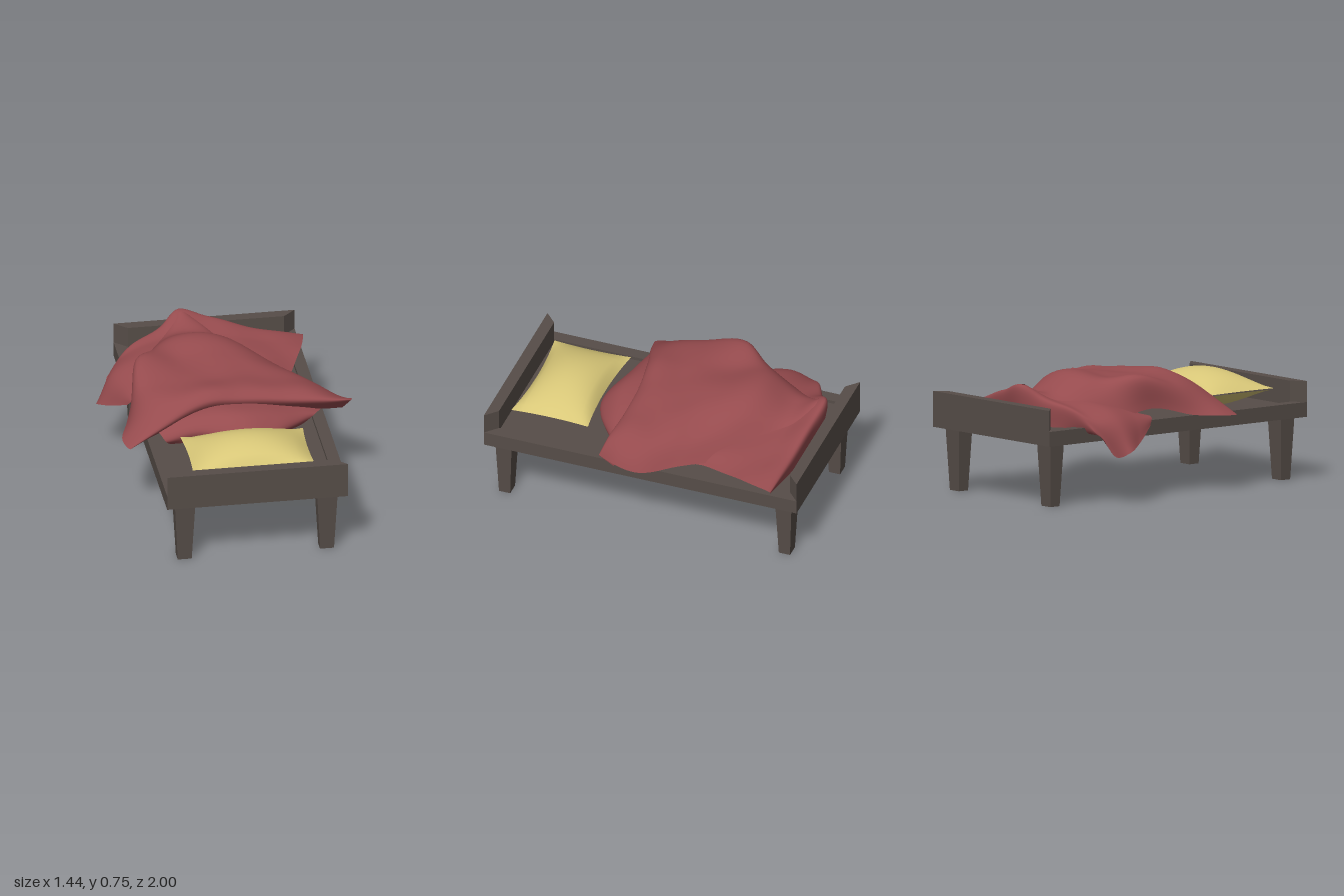
import * as THREE from 'three';

const wood = new THREE.MeshStandardMaterial({ color: 0x564d48, flatShading: true });
const cloth = new THREE.MeshStandardMaterial({ color: 0x964b4e, side: THREE.DoubleSide });
const linen = new THREE.MeshStandardMaterial({ color: 0xd8c778 });
const CX = 0.02; // the frame sits slightly off centre under the draped blanket

function add(parent, name, geometry, material, x = 0, y = 0, z = 0) {
  const mesh = new THREE.Mesh(geometry, material);
  mesh.name = name;
  mesh.position.set(x, y, z);
  parent.add(mesh);
  return mesh;
}

const outline = (points) => points.map(([x, y]) => new THREE.Vector2(x, y));

// Floor-plan shape raised to a height
function raise(shape, height) {
  return new THREE.ExtrudeGeometry(shape, { depth: height, bevelEnabled: false }).rotateX(-Math.PI / 2);
}

// Smooth cloth surface through rows of [x, y, z] points, rows running front to back
function drape(rows, wrinkle, nu = 48, nv = 48) {
  const curve = (pts) => new THREE.CatmullRomCurve3(pts, false, 'centripetal');
  const across = rows.map((r) => curve(r.map((p) => new THREE.Vector3(...p))));
  const pos = [], index = [];
  for (let i = 0; i <= nu; i++) {
    const along = curve(across.map((c) => c.getPoint(i / nu)));
    for (let j = 0; j <= nv; j++) {
      const p = along.getPoint(j / nv);
      const w = Math.sin(p.x * 13 + p.z * 9 + 2 * Math.sin(p.z * 6)) + 0.6 * Math.sin(p.x * 21 - p.z * 14);
      pos.push(p.x, p.y + wrinkle * w, p.z);
      if (i < nu && j < nv) {
        const a = i * (nv + 1) + j, b = a + nv + 1;
        index.push(a, b, a + 1, b, b + 1, a + 1);
      }
    }
  }
  const g = new THREE.BufferGeometry();
  g.setAttribute('position', new THREE.Float32BufferAttribute(pos, 3));
  g.setIndex(index);
  g.computeVertexNormals();
  return g;
}

// Half of the pillow: a square bulged up (side 1) or down (side -1), edges pinched in
function pillowHalf(side) {
  const g = new THREE.PlaneGeometry(2, 2, 16, 16);
  const p = g.attributes.position;
  for (let i = 0; i < p.count; i++) {
    const u = p.getX(i) * side, v = -p.getY(i);
    const bulge = Math.pow(1 - u * u, 0.85) * Math.pow(1 - v * v, 0.62);
    p.setXYZ(i,
      CX + u * (0.373 - 0.012 * (1 - v * v)),
      0.54 + side * (0.113 * bulge + 0.004),
      0.645 + 0.245 * v * (1 - 0.11 * (1 - u * u)));
  }
  g.computeVertexNormals();
  return g;
}

export function createModel() {
  const model = new THREE.Group();
  model.name = 'bed';

  // Bed frame: bottom slab, raised rim around a shallow recess
  const frame = new THREE.Group();
  frame.name = 'frame';
  frame.position.x = CX;
  model.add(frame);
  add(frame, 'base', new THREE.BoxGeometry(1.1, 0.07, 2), wood, 0, 0.415, 0);
  const rim = new THREE.Shape(outline([[-0.55, -1], [0.55, -1], [0.55, 1], [-0.55, 1]]));
  rim.holes.push(new THREE.Path(outline([[-0.475, -0.93], [-0.475, 0.93], [0.475, 0.93], [0.475, -0.93]])));
  add(frame, 'rim', raise(rim, 0.02), wood, 0, 0.45, 0);

  // End boards with mitred ends
  const board = new THREE.Shape(outline([[-0.55, -1], [0.55, -1], [0.475, -0.93], [-0.475, -0.93]]));
  const boardGeo = raise(board, 0.127);
  add(frame, 'headboard', boardGeo, wood, 0, 0.47, 0);
  add(frame, 'footboard', boardGeo, wood, 0, 0.47, 0).rotation.y = Math.PI;

  // Tapered legs
  const legGeo = new THREE.CylinderGeometry(0.0625 * Math.SQRT2, 0.0425 * Math.SQRT2, 0.38, 4);
  legGeo.rotateY(Math.PI / 4).scale(1, 1, 0.84);
  for (const sx of [-1, 1]) for (const sz of [-1, 1])
    add(frame, 'leg', legGeo, wood, sx * 0.4325, 0.19, sz * 0.895);

  // Pillow
  const pillow = new THREE.Group();
  pillow.name = 'pillow';
  model.add(pillow);
  add(pillow, 'pillowTop', pillowHalf(1), linen);
  add(pillow, 'pillowBottom', pillowHalf(-1), linen);

  // Blanket
  const blanket = new THREE.Group();
  blanket.name = 'blanket';
  model.add(blanket);

  // Main body, tapering to a peak at the foot end
  const body = [
    [[-0.65, 0.465, 0.36], [-0.42, 0.58, 0.3], [-0.18, 0.66, 0.23], [0.05, 0.655, 0.2], [0.3, 0.63, 0.2], [0.55, 0.62, 0.215], [0.72, 0.61, 0.21]],
    [[-0.68, 0.47, 0.25], [-0.45, 0.64, 0.2], [-0.2, 0.71, 0.17], [0.05, 0.7, 0.14], [0.3, 0.675, 0.13], [0.52, 0.645, 0.13], [0.72, 0.56, 0.1]],
    [[-0.62, 0.49, 0.05], [-0.52, 0.66, 0], [-0.22, 0.7, -0.03], [0.05, 0.695, -0.05], [0.3, 0.67, -0.05], [0.5, 0.625, -0.05], [0.67, 0.5, -0.03]],
    [[-0.54, 0.54, -0.2], [-0.505, 0.735, -0.28], [-0.25, 0.71, -0.28], [0, 0.725, -0.28], [0.2, 0.69, -0.25], [0.38, 0.61, -0.25], [0.53, 0.49, -0.2]],
    [[-0.5, 0.5, -0.42], [-0.42, 0.66, -0.45], [-0.27, 0.73, -0.5], [-0.1, 0.748, -0.52], [0.1, 0.7, -0.5], [0.24, 0.62, -0.45], [0.4, 0.48, -0.38]],
    [[-0.38, 0.5, -0.7], [-0.32, 0.59, -0.71], [-0.22, 0.645, -0.73], [-0.11, 0.645, -0.73], [0.02, 0.62, -0.72], [0.13, 0.56, -0.67], [0.25, 0.47, -0.61]],
    [[-0.32, 0.5, -0.82], [-0.25, 0.6, -0.85], [-0.18, 0.68, -0.87], [-0.14, 0.71, -0.88], [-0.08, 0.68, -0.87], [0.02, 0.6, -0.86], [0.1, 0.5, -0.85]],
  ];
  // front lip rolled under
  const lip = body[0].map(([x, y, z]) => [x * 0.94, 0.46 + (y - 0.46) * 0.4, z - 0.08]);
  add(blanket, 'blanketBody', drape([lip, ...body], 0.002), cloth);

  // Spread corners at the foot end, one hanging over the side
  const corners = [
    [[-0.54, 0.43, -0.69], [-0.4, 0.46, -0.79], [-0.25, 0.46, -0.86], [-0.14, 0.46, -0.9], [0.05, 0.46, -0.88], [0.3, 0.46, -0.86], [0.585, 0.485, -0.83]],
    [[-0.62, 0.42, -0.675], [-0.47, 0.55, -0.765], [-0.27, 0.63, -0.855], [-0.15, 0.71, -0.92], [0.03, 0.65, -0.9], [0.3, 0.57, -0.865], [0.595, 0.51, -0.84]],
    [[-0.65, 0.29, -0.575], [-0.58, 0.5, -0.66], [-0.3, 0.61, -0.73], [-0.14, 0.63, -0.75], [0.05, 0.6, -0.75], [0.3, 0.56, -0.72], [0.56, 0.52, -0.68]],
    [[-0.715, 0.325, -0.52], [-0.61, 0.51, -0.53], [-0.38, 0.6, -0.55], [-0.14, 0.6, -0.55], [0.1, 0.58, -0.58], [0.32, 0.55, -0.55], [0.5, 0.5, -0.53]],
    [[-0.66, 0.37, -0.4], [-0.57, 0.5, -0.36], [-0.4, 0.56, -0.4], [-0.14, 0.55, -0.4], [0.15, 0.55, -0.4], [0.34, 0.53, -0.4], [0.43, 0.47, -0.35]],
    [[-0.57, 0.44, -0.25], [-0.53, 0.49, -0.21], [-0.4, 0.5, -0.25], [-0.14, 0.5, -0.25], [0.15, 0.5, -0.25], [0.33, 0.49, -0.28], [0.42, 0.46, -0.3]],
  ];
  add(blanket, 'blanketCorners', drape(corners.reverse(), 0.003), cloth);

  // Lower fold showing under the front lip
  const tuck = [
    [[-0.5, 0.56, 0.2], [-0.25, 0.62, 0.15], [0.05, 0.63, 0.12], [0.3, 0.59, 0.13], [0.55, 0.52, 0.12]],
    [[-0.46, 0.53, 0.31], [-0.25, 0.6, 0.28], [0.05, 0.62, 0.32], [0.28, 0.57, 0.28], [0.5, 0.52, 0.19]],
    [[-0.43, 0.49, 0.34], [-0.22, 0.54, 0.35], [0.05, 0.51, 0.43], [0.2, 0.5, 0.39], [0.45, 0.49, 0.21]],
    [[-0.4, 0.455, 0.31], [-0.2, 0.455, 0.33], [0.05, 0.455, 0.41], [0.18, 0.455, 0.36], [0.42, 0.455, 0.19]],
  ];
  add(blanket, 'blanketTuck', drape(tuck.reverse(), 0.002, 32, 20), cloth);

  return model;
}
